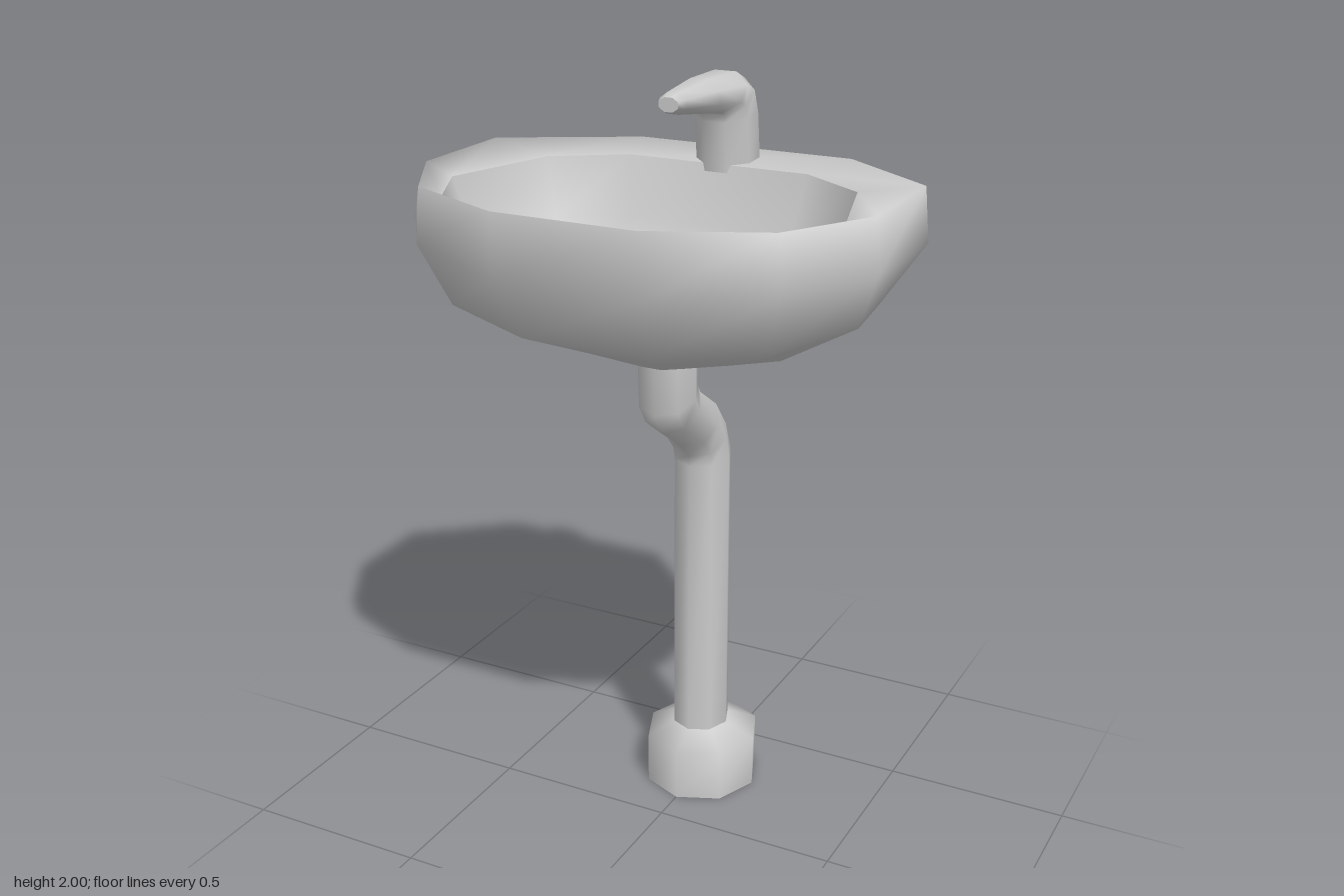
import * as THREE from 'three';

const material = new THREE.MeshStandardMaterial({ color: 0xcccccc, side: THREE.DoubleSide });

// Smooth skin through closed rings of [x, y, z] points, with optional flat caps
function loft(name, rings, capStart = false, capEnd = false) {
  const n = rings[0].length, pos = rings.flat(2), index = [];
  for (let i = 0; i < rings.length - 1; i++) {
    for (let j = 0; j < n; j++) {
      const k = (j + 1) % n, a = i * n, b = a + n;
      index.push(a + j, a + k, b + k, a + j, b + k, b + j);
    }
  }
  const cap = (ring, flip) => {
    const base = pos.length / 3;
    const mid = [0, 1, 2].map(c => ring.reduce((s, p) => s + p[c], 0) / n);
    pos.push(...ring.flat(), ...mid);
    for (let j = 0; j < n; j++) {
      const k = (j + 1) % n;
      index.push(base + (flip ? k : j), base + (flip ? j : k), base + n);
    }
  };
  if (capStart) cap(rings[0], true);
  if (capEnd) cap(rings[rings.length - 1], false);
  const g = new THREE.BufferGeometry();
  g.setAttribute('position', new THREE.Float32BufferAttribute(pos, 3));
  g.setIndex(index);
  g.computeVertexNormals();
  const mesh = new THREE.Mesh(g, material);
  mesh.name = name;
  return mesh;
}

// Elliptical section spanning front point (zf, yf) to back point (zb, yb), half width w
function section([zf, yf, zb, yb, w], sides = 8, turn = 0) {
  const grow = turn ? 1 / Math.cos(Math.PI / sides) : 1;
  return Array.from({ length: sides }, (_, j) => {
    const t = (j + turn) * 2 * Math.PI / sides;
    const c = Math.cos(t) * grow / 2;
    return [Math.sin(t) * grow * w, (yf + yb) / 2 + c * (yf - yb), (zf + zb) / 2 + c * (zf - zb)];
  });
}

// Full ring from its left half, listed front to back
const mirrored = half => [...half, ...half.map(([x, y, z]) => [-x, y, z]).reverse()];

export function createModel() {
  const model = new THREE.Group();
  model.name = 'pedestalSink';

  // Foot with a sloping shoulder
  model.add(loft('foot', [
    [-0.09, 0, -0.42, 0, 0.16],
    [-0.09, 0.145, -0.425, 0.145, 0.16],
    [-0.165, 0.185, -0.335, 0.185, 0.08],
  ].map(s => section(s)), true, true));

  // Drain pipe with a double bend
  model.add(loft('drainPipe', [
    [-0.163, 0.17, -0.333, 0.17, 0.078],
    [-0.16, 0.99, -0.323, 1.01, 0.078],
    [-0.155, 1.02, -0.285, 1.1, 0.078],
    [-0.12, 1.06, -0.22, 1.18, 0.078],
    [0, 1.14, -0.13, 1.24, 0.078],
    [0.04, 1.2, -0.115, 1.26, 0.078],
    [0.048, 1.35, -0.117, 1.35, 0.078],
  ].map(s => section(s))));

  // Bowl shell from the neck up and over the rim
  const rim = [[0.17, 1.77, 0.44], [0.42, 1.77, 0.32], [0.52, 1.77, 0.12], [0.43, 1.77, -0.185], [0.25, 1.77, -0.305]];
  const shell = [
    [[0.09, 1.4, 0.2], [0.25, 1.405, 0.14], [0.34, 1.4, 0.04], [0.3, 1.4, -0.12], [0.11, 1.385, -0.2]],
    [[0.17, 1.48, 0.38], [0.42, 1.5, 0.29], [0.555, 1.53, 0.1], [0.5, 1.5, -0.17], [0.22, 1.44, -0.31]],
    [[0.19, 1.64, 0.466], [0.47, 1.66, 0.355], [0.615, 1.67, 0.15], [0.615, 1.67, -0.18], [0.3, 1.71, -0.47]],
    [[0.185, 1.8, 0.475], [0.46, 1.8, 0.35], [0.595, 1.8, 0.12], [0.595, 1.8, -0.2], [0.3, 1.78, -0.475]],
    rim,
  ].map(mirrored);
  const neck = section([0.05, 1.33, -0.12, 1.33, 0.08], 10, 0.5);
  model.add(loft('bowl', [neck, ...shell]));

  // Basin: the inner rim shrinking towards the drain
  const basin = [[1, 1.77], [0.9, 1.62], [0.72, 1.51], [0.4, 1.45], [0.001, 1.43]].map(([s, y]) =>
    mirrored(rim).map(([x, , z]) => [x * s, y, 0.04 + (z - 0.04) * s]));
  model.add(loft('basin', basin));

  // Tapering faucet, bending forward over the basin
  model.add(loft('faucet', [
    [-0.3, 1.75, -0.453, 1.75, 0.075],
    [-0.285, 1.88, -0.432, 1.9, 0.075],
    [-0.28, 1.9, -0.4, 1.975, 0.075],
    [-0.265, 1.908, -0.35, 1.998, 0.073],
    [-0.2, 1.918, -0.2, 2.0, 0.06],
    [-0.06, 1.938, -0.06, 1.99, 0.036],
    [-0.035, 1.947, -0.035, 1.982, 0.026],
  ].map(s => section(s, 8, 0.5)), false, true));

  return model;
}
